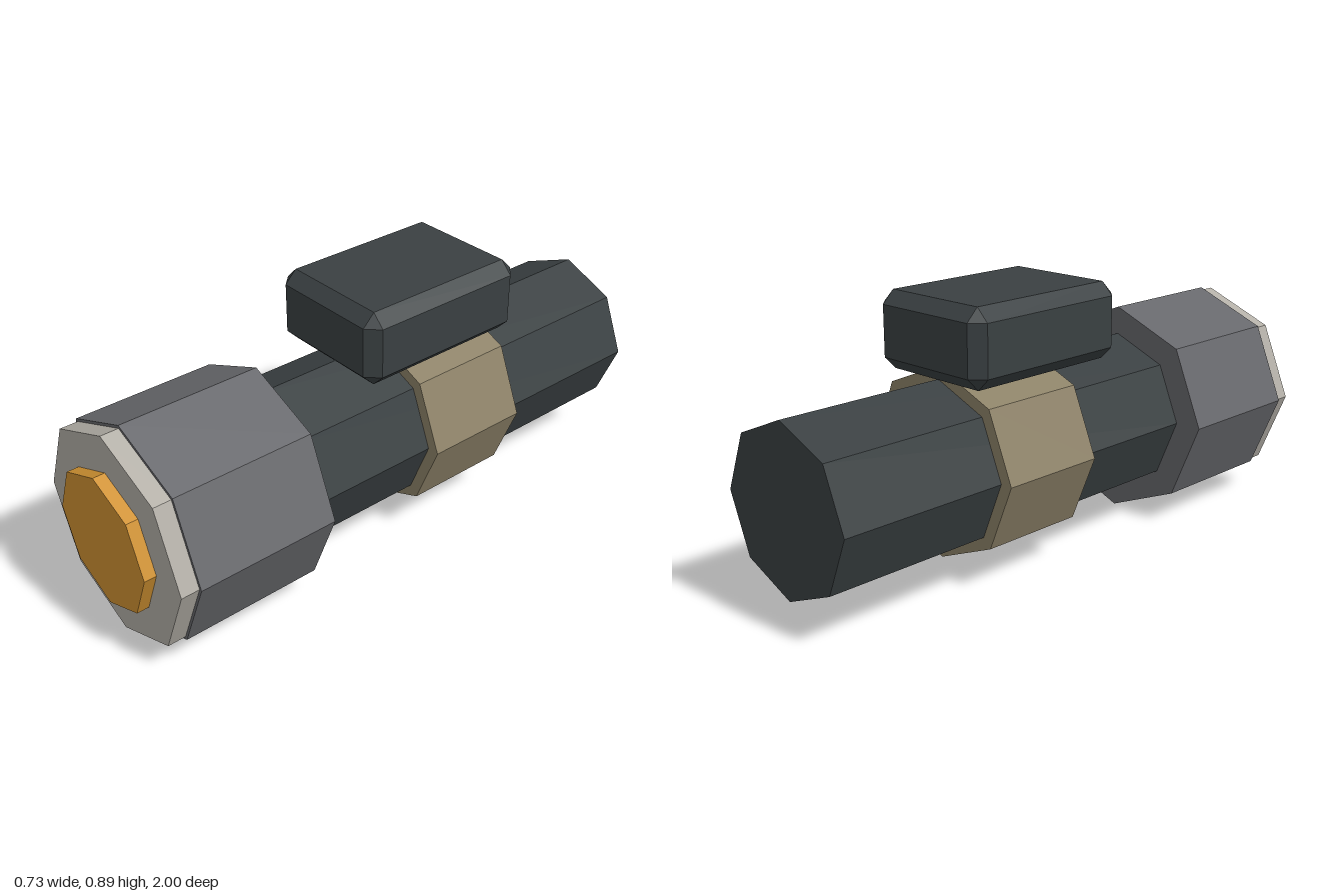
import * as THREE from 'three';
import { ConvexGeometry } from 'three/addons/geometries/ConvexGeometry.js';

const AXIS_Y = 0.37;

function material(name, color) {
  const m = new THREE.MeshStandardMaterial({ color });
  m.name = name;
  return m;
}

// Octagonal prism along z, with a corner pointing straight up
function octagon(name, radius, zBack, zFront, mat) {
  const geometry = new THREE.CylinderGeometry(radius, radius, zFront - zBack, 8).toNonIndexed();
  geometry.rotateX(Math.PI / 2);
  geometry.computeVertexNormals();
  const mesh = new THREE.Mesh(geometry, mat);
  mesh.name = name;
  mesh.position.set(0, AXIS_Y, (zBack + zFront) / 2);
  return mesh;
}

// Box with every edge and corner cut off by c
function chamferedBox(w, h, d, c) {
  const points = [];
  for (const sx of [-1, 1]) for (const sy of [-1, 1]) for (const sz of [-1, 1]) {
    for (let axis = 0; axis < 3; axis++) {
      const half = [w / 2, h / 2, d / 2].map((v, i) => (i === axis ? v : v - c));
      points.push(new THREE.Vector3(sx * half[0], sy * half[1], sz * half[2]));
    }
  }
  return new ConvexGeometry(points);
}

export function createModel() {
  const darkBody = material('dark body', 0x3a4042);
  const greyMetal = material('grey metal', 0x67686c);
  const paleMetal = material('pale metal', 0xb3afa7);
  const amber = material('amber lens', 0xd09232);
  const tan = material('tan band', 0x8d8268);

  const model = new THREE.Group();
  model.name = 'torch';

  // Barrel, clamp band and lamp head
  model.add(
    octagon('barrel', 0.272, -1, 0.42, darkBody),
    octagon('clampBand', 0.314, -0.42, -0.05, tan),
    octagon('lampHead', 0.367, 0.42, 0.9, greyMetal),
    octagon('bezel', 0.357, 0.9, 0.96, paleMetal),
    octagon('lens', 0.231, 0.96, 1, amber)
  );

  // Switch housing on top
  const housing = new THREE.Mesh(chamferedBox(0.462, 0.252, 0.63, 0.042), darkBody);
  housing.name = 'switchHousing';
  housing.position.set(0, 0.77, -0.157);
  model.add(housing);

  return model;
}
